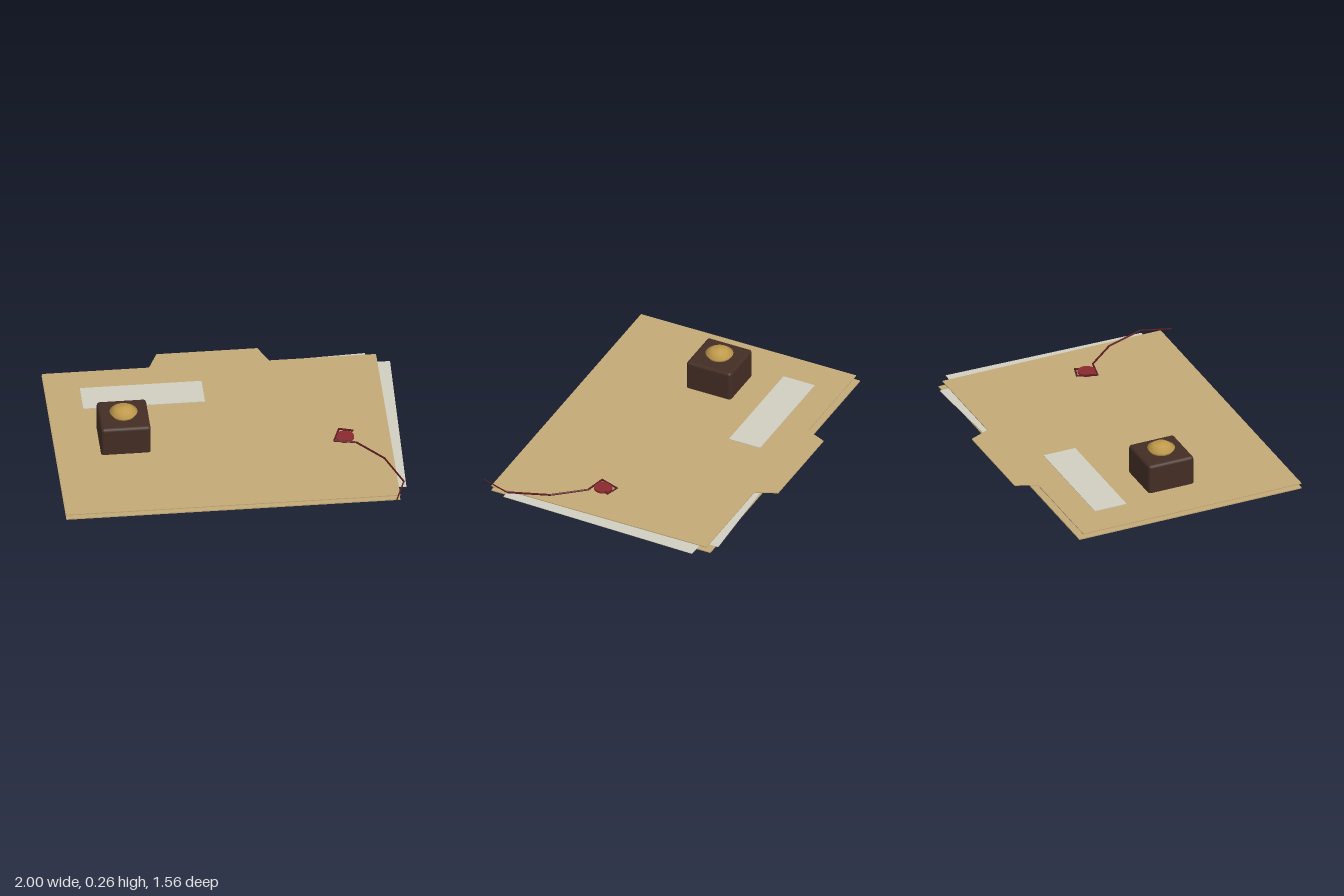
import * as THREE from 'three';
import { RoundedBoxGeometry } from 'three/addons/geometries/RoundedBoxGeometry.js';

const material = (name, color) => {
  const m = new THREE.MeshStandardMaterial({ color });
  m.name = name;
  return m;
};

export function createModel() {
  const manila = material('manila card', 0xc2a876);
  const paper = material('paper', 0xd0ccc0);
  const wood = material('dark wood', 0x432d24);
  const brass = material('brass', 0xc09a4c);
  const wax = material('red wax', 0x8a2a2e);
  const string = material('dark red cord', 0x5a1a20);

  const model = new THREE.Group();
  const add = (name, geometry, mat, x = 0, y = 0, z = 0, parent = model) => {
    const mesh = new THREE.Mesh(geometry, mat);
    mesh.name = name;
    mesh.position.set(x, y, z);
    parent.add(mesh);
    return mesh;
  };

  // Flat plate from [x, z] outline points, lying on the ground plane
  const plate = (points, thickness) => {
    const shape = new THREE.Shape(points.map(([x, z]) => new THREE.Vector2(x, -z)));
    return new THREE.ExtrudeGeometry(shape, { depth: thickness, bevelEnabled: false }).rotateX(-Math.PI / 2);
  };

  // Folder: plain lower cover, upper cover with a tapered tab
  add('lowerCover', plate([[-1, 0.72], [0.92, 0.72], [0.92, -0.68], [-1, -0.68]], 0.006), manila);
  add('upperCover', plate([
    [-1, 0.72], [0.92, 0.72], [0.92, -0.655], [0.305, -0.655],
    [0.25, -0.78], [-0.33, -0.78], [-0.385, -0.655], [-1, -0.655],
  ], 0.005), manila, 0, 0.03);

  // Loose sheets, slightly skewed between the covers
  add('lowerSheet', plate([[0.86, -0.7], [-0.95, -0.62], [-0.89, 0.69], [0.917, 0.61]], 0.003), paper, 0, 0.01);
  add('upperSheet', plate([[0.995, -0.6], [-0.865, -0.65], [-0.9, 0.57], [0.965, 0.62]], 0.003), paper, 0, 0.016);

  // Label on the upper cover
  add('label', new THREE.BoxGeometry(0.7, 0.003, 0.2), paper, -0.45, 0.0385, -0.39);

  // Rounded block with a brass knob
  add('block', new RoundedBoxGeometry(0.285, 0.21, 0.285, 2, 0.018), wood, -0.6, 0.106, 0.021);
  const profile = [[0, 0.2], [0.062, 0.206], [0.08, 0.232], [0.045, 0.257], [0, 0.265]];
  add('knob', new THREE.LatheGeometry(profile.map(([r, y]) => new THREE.Vector2(r, y)), 24), brass, -0.6, 0, 0.02);

  // Wax seal
  add('seal', new THREE.CylinderGeometry(0.053, 0.053, 0.012, 20), wax, 0.66, 0.042, 0.135);

  // Cord looping round the seal and trailing off the corner
  const cord = new THREE.Group();
  cord.name = 'cord';
  model.add(cord);
  const path = [
    [0.7, 0.1], [0.71, 0.083], [0.634, 0.06], [0.595, 0.173],
    [0.72, 0.2], [0.865, 0.37], [0.952, 0.605], [0.895, 0.775],
  ].map(([x, z]) => new THREE.Vector3(x, 0.045, z));
  const up = new THREE.Vector3(0, 1, 0);
  for (let i = 1; i < path.length; i++) {
    const step = path[i].clone().sub(path[i - 1]);
    const mid = path[i].clone().add(path[i - 1]).multiplyScalar(0.5);
    const radius = i === path.length - 1 ? 0.004 : 0.0055;
    const geometry = new THREE.CylinderGeometry(radius, radius, step.length() + 0.005, 6);
    const segment = add('cordSegment', geometry, string, mid.x, mid.y, mid.z, cord);
    segment.quaternion.setFromUnitVectors(up, step.normalize());
  }

  return model;
}
